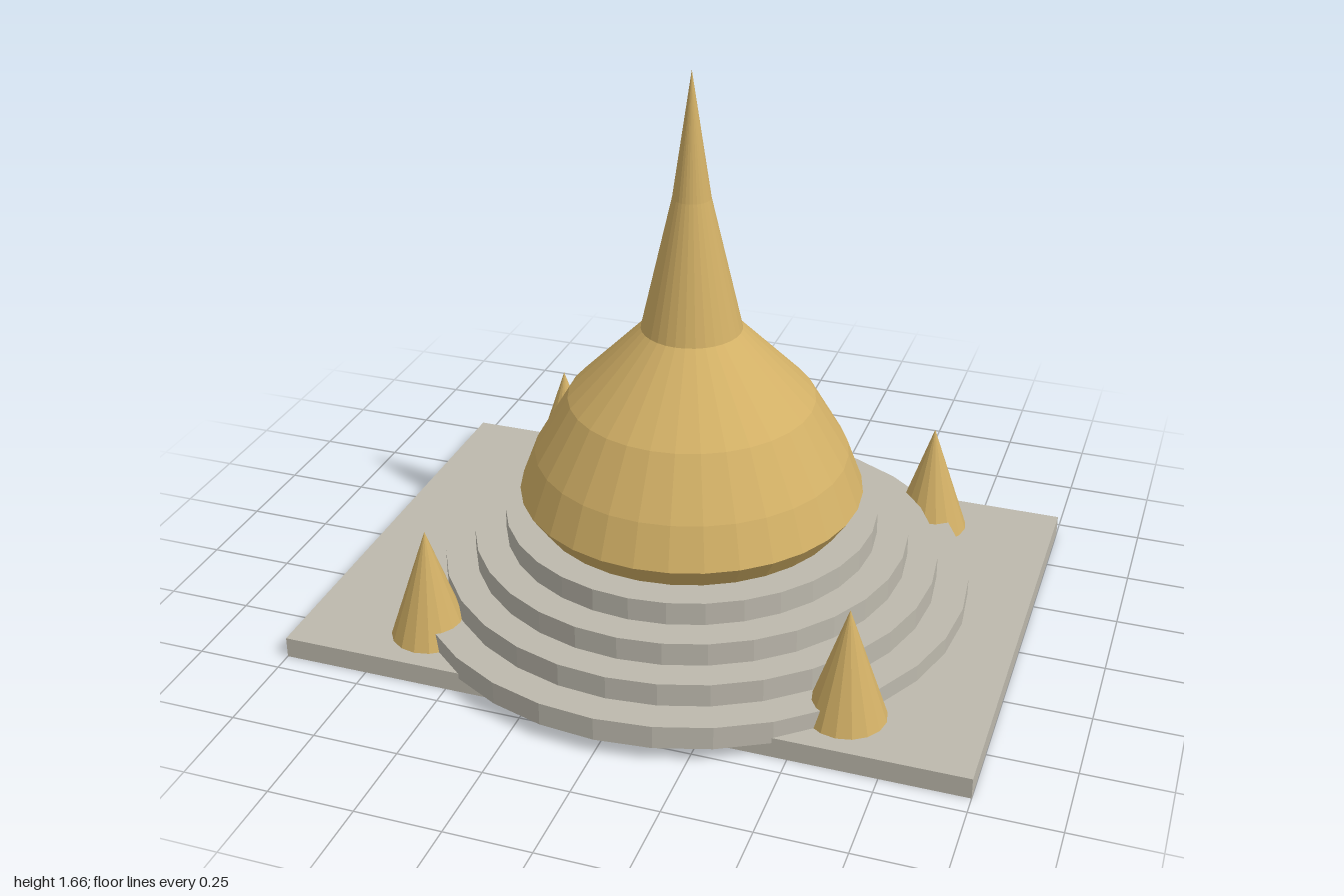
import * as THREE from 'three';

export function createModel() {
  const stone = new THREE.MeshStandardMaterial({ color: 0xbdb9ad });
  stone.name = 'pale stone';
  const gold = new THREE.MeshStandardMaterial({ color: 0xd2b066 });
  gold.name = 'gold';

  const model = new THREE.Group();
  model.name = 'stupa';

  // Adds one faceted part at a position
  const add = (name, geometry, material, x = 0, y = 0, z = 0) => {
    const flat = geometry.index ? geometry.toNonIndexed() : geometry;
    flat.computeVertexNormals();
    const mesh = new THREE.Mesh(flat, material);
    mesh.name = name;
    mesh.position.set(x, y, z);
    model.add(mesh);
  };

  // Rectangular base slab
  add('baseSlab', new THREE.BoxGeometry(2, 0.062, 1.385), stone, 0, 0.031, 0);

  // Four stepped round terraces, the lowest overhanging the slab
  const tierHeight = 0.069;
  [0.83, 0.735, 0.645, 0.552].forEach((r, i) => {
    const y = 0.045 + tierHeight * (i + 0.5);
    add(`terrace${i + 1}`, new THREE.CylinderGeometry(r, r, tierHeight, 32), stone, 0, y, 0);
  });

  // Bell dome and tapering spire, turned from one profile
  const lathe = (points) =>
    new THREE.LatheGeometry(points.map(([r, y]) => new THREE.Vector2(r, y)), 32);
  add('bellDome', lathe([
    [0, 0.321], [0.46, 0.321], [0.506, 0.388], [0.46, 0.51], [0.36, 0.68], [0.146, 0.896],
  ]), gold);
  add('spire', lathe([[0.146, 0.896], [0.055, 1.29], [0, 1.657]]), gold);

  // Small corner spires
  for (const x of [-0.619, 0.619]) {
    for (const z of [-0.527, 0.527]) {
      add('cornerSpire', new THREE.ConeGeometry(0.114, 0.338, 16), gold, x, 0.229, z);
    }
  }
  return model;
}
